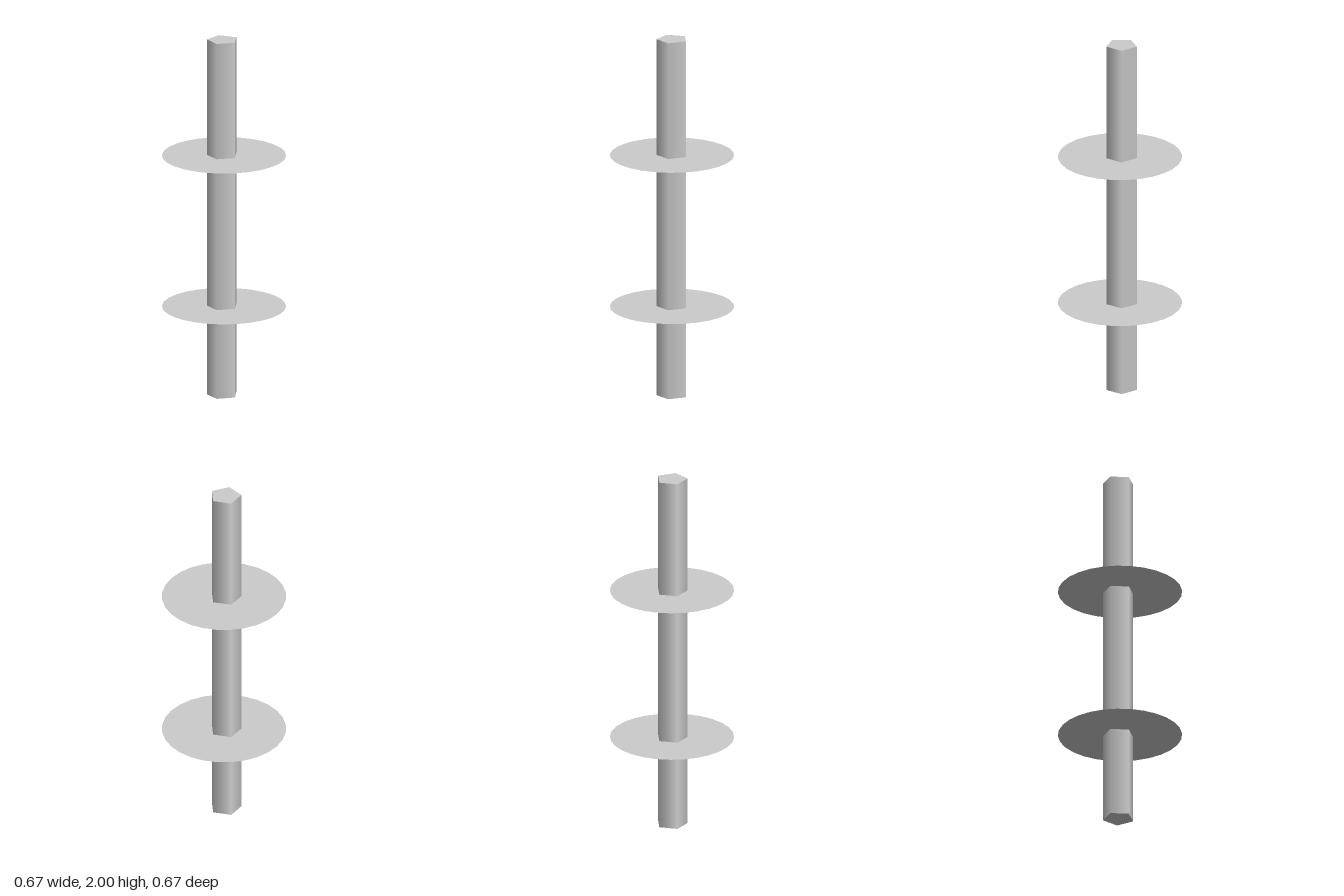
import * as THREE from 'three';

export function createModel() {
  const model = new THREE.Group();
  const grey = new THREE.MeshStandardMaterial({ color: 0xcccccc });
  const thinGrey = new THREE.MeshStandardMaterial({ color: 0xcccccc, side: THREE.DoubleSide });

  // Five-sided upright rod with smooth sides, one corner towards +x
  const rod = new THREE.Mesh(
    new THREE.CylinderGeometry(0.086, 0.086, 2, 5, 1, false, Math.PI / 2), grey);
  rod.name = 'rod';
  rod.position.set(-0.009, 1, 0);
  model.add(rod);

  // Two paper-thin discs threaded on the rod
  const discGeometry = new THREE.CircleGeometry(0.335, 28).rotateX(-Math.PI / 2);
  for (const [name, y] of [['lowerDisc', 0.5], ['upperDisc', 1.35]]) {
    const disc = new THREE.Mesh(discGeometry, thinGrey);
    disc.name = name;
    disc.position.y = y;
    model.add(disc);
  }

  return model;
}
